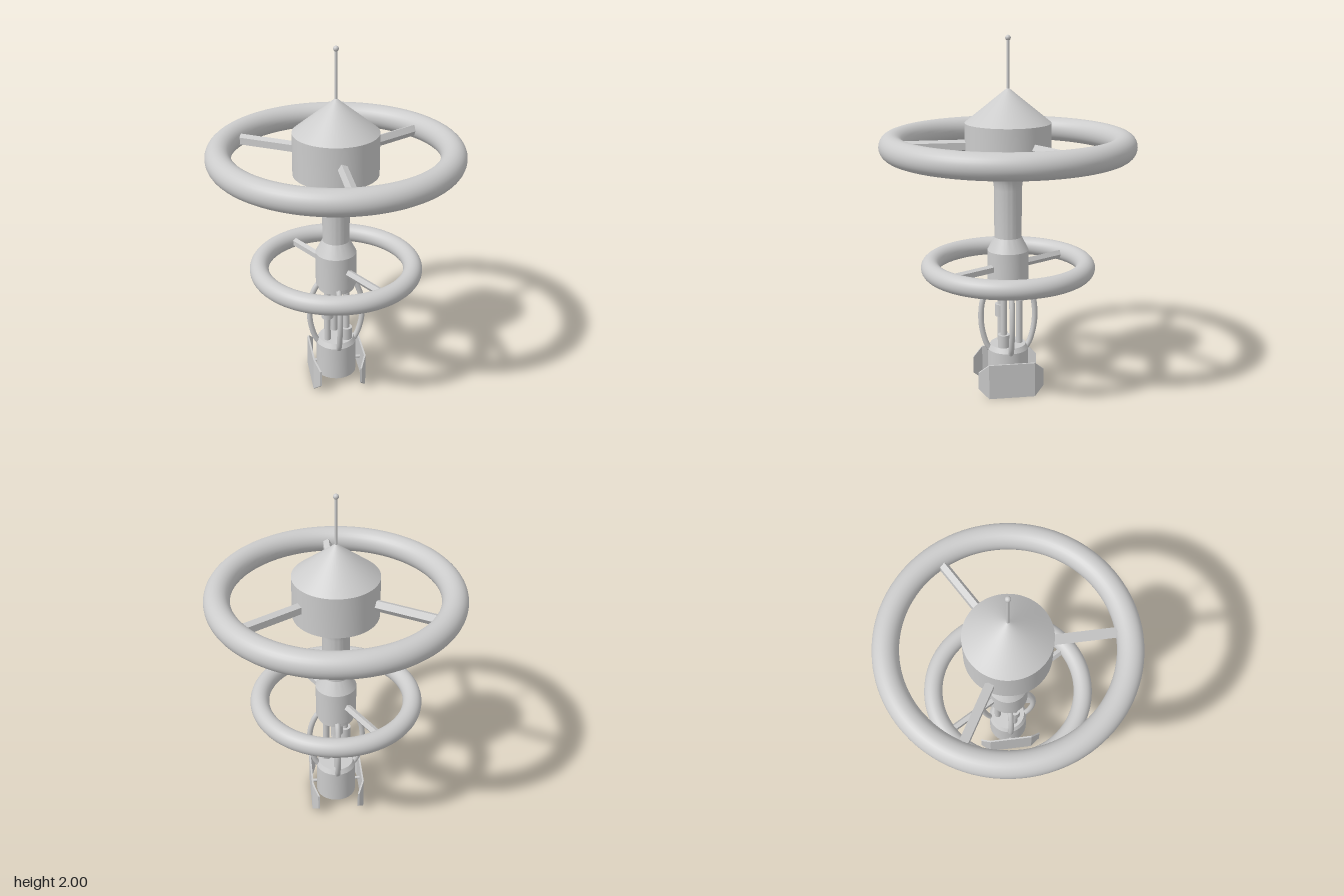
import * as THREE from 'three';
import { toCreasedNormals } from 'three/addons/utils/BufferGeometryUtils.js';

const grey = new THREE.MeshStandardMaterial({ color: 0xcccccc });
const flatGrey = new THREE.MeshStandardMaterial({ color: 0xcccccc, flatShading: true });

function add(parent, name, geometry, material = grey) {
  const mesh = new THREE.Mesh(geometry, material);
  mesh.name = name;
  parent.add(mesh);
  return mesh;
}

// Turned solid from [radius, height] pairs, bottom to top
function turned(parent, name, profile) {
  const points = profile.map(([r, y]) => new THREE.Vector2(r, y));
  return add(parent, name, toCreasedNormals(new THREE.LatheGeometry(points, 64), 0.45));
}

function rod(parent, name, radius, y0, y1, x = 0, z = 0) {
  const mesh = add(parent, name, new THREE.CylinderGeometry(radius, radius, y1 - y0, 20));
  mesh.position.set(x, (y0 + y1) / 2, z);
  return mesh;
}

// Horizontal ring held by five-sided spokes
function spokedRing(parent, name, y, radius, tube, hub, spokeRadius, angles) {
  const group = new THREE.Group();
  group.name = name;
  group.position.y = y;
  parent.add(group);
  add(group, name + 'Tube', new THREE.TorusGeometry(radius, tube, 28, 112).rotateX(Math.PI / 2));
  const length = radius - tube * 0.8 - hub;
  for (const angle of angles) {
    const g = new THREE.CylinderGeometry(spokeRadius, spokeRadius, length, 5);
    g.rotateY(Math.PI / 2).rotateX(Math.PI / 2).rotateZ(Math.PI);
    g.scale(1, 1.2, 1).translate(0, 0, hub + length / 2);
    add(group, name + 'Spoke', g, flatGrey).rotation.y = angle;
  }
}

// Folded plate: flat middle, tapering tips bent inward
function finGeometry() {
  const t = 0.01;
  const columns = [[-0.185, 0.122, 0.048], [-0.13, 0.153, 0.1], [0.13, 0.153, 0.1], [0.185, 0.122, 0.048]];
  const positions = [];
  for (const [z, x, h] of columns) {
    positions.push(x, 0.1 - h, z, x, 0.1 + h, z, x - t, 0.1 + h, z, x - t, 0.1 - h, z);
  }
  const index = [0, 1, 2, 0, 2, 3, 12, 14, 13, 12, 15, 14];
  for (let c = 0; c < 3; c++) {
    for (let k = 0; k < 4; k++) {
      const a = c * 4 + k, b = c * 4 + (k + 1) % 4;
      index.push(a, b + 4, b, a, a + 4, b + 4);
    }
  }
  const g = new THREE.BufferGeometry();
  g.setAttribute('position', new THREE.Float32BufferAttribute(positions, 3));
  g.setIndex(index.reverse());
  g.computeVertexNormals();
  return g;
}

export function createModel() {
  const model = new THREE.Group();
  model.name = 'ringedStation';

  // Top hub, roof and antenna
  turned(model, 'hub', [[0, 1.3], [0.235, 1.3], [0.235, 1.535], [0, 1.725]]);
  rod(model, 'antenna', 0.007, 1.71, 1.985);
  add(model, 'antennaTip', new THREE.SphereGeometry(0.015, 20, 14)).position.y = 1.985;

  // Column with flared neck and lower collar
  turned(model, 'column', [
    [0, 0.6], [0.103, 0.6], [0.103, 0.632], [0.115, 0.632], [0.115, 0.825], [0.076, 0.9],
    [0.076, 1.17], [0.08, 1.205], [0.092, 1.24], [0.112, 1.27], [0.137, 1.29], [0.165, 1.301],
  ]);

  // Rings
  const turn = Math.PI * 2 / 3;
  spokedRing(model, 'upperRing', 1.415, 0.627, 0.07, 0.2, 0.028, [0, turn, 2 * turn]);
  const lowerAngle = Math.PI / 6;
  spokedRing(model, 'lowerRing', 0.73, 0.432, 0.053, 0.09, 0.021, [lowerAngle, lowerAngle + Math.PI]);

  // Cage of four bowed tubes
  const bow = new THREE.CatmullRomCurve3([
    [0.1, 0.63], [0.122, 0.595], [0.147, 0.52], [0.154, 0.435], [0.147, 0.36], [0.125, 0.28], [0.108, 0.248],
  ].map(([x, y]) => new THREE.Vector3(x, y, 0)));
  const bowGeometry = new THREE.TubeGeometry(bow, 32, 0.016, 14);
  for (let i = 0; i < 4; i++) {
    add(model, 'cageTube', bowGeometry).rotation.y = i * Math.PI / 2;
    const end = add(model, 'cageTubeEnd', new THREE.SphereGeometry(0.016, 14, 10));
    end.position.set(0.108, 0.248, 0).applyAxisAngle(new THREE.Vector3(0, 1, 0), i * Math.PI / 2);
  }

  // Inner rods, each with a collar at its own height
  [[-0.055, 0.033, 0.42, 0.49], [0.055, 0.033, 0.27, 0.345], [0, -0.064, 0.53, 0.605]].forEach(([x, z, y0, y1]) => {
    rod(model, 'innerRod', 0.019, 0.25, 0.62, x, z);
    rod(model, 'rodCollar', 0.034, y0, y1, x, z);
  });

  // Bottom pod
  turned(model, 'pod', [[0, 0.045], [0.115, 0.045], [0.115, 0.245], [0.1, 0.272], [0, 0.272]]);

  // Side fins with mounting pins
  const fin = finGeometry();
  for (const angle of [0, Math.PI]) {
    const group = new THREE.Group();
    group.name = 'finAssembly';
    group.rotation.y = angle;
    add(group, 'fin', fin, flatGrey);
    const pin = add(group, 'finPin', new THREE.CylinderGeometry(0.009, 0.009, 0.05, 12).rotateZ(Math.PI / 2));
    pin.position.set(0.125, 0.11, 0);
    model.add(group);
  }
  return model;
}
